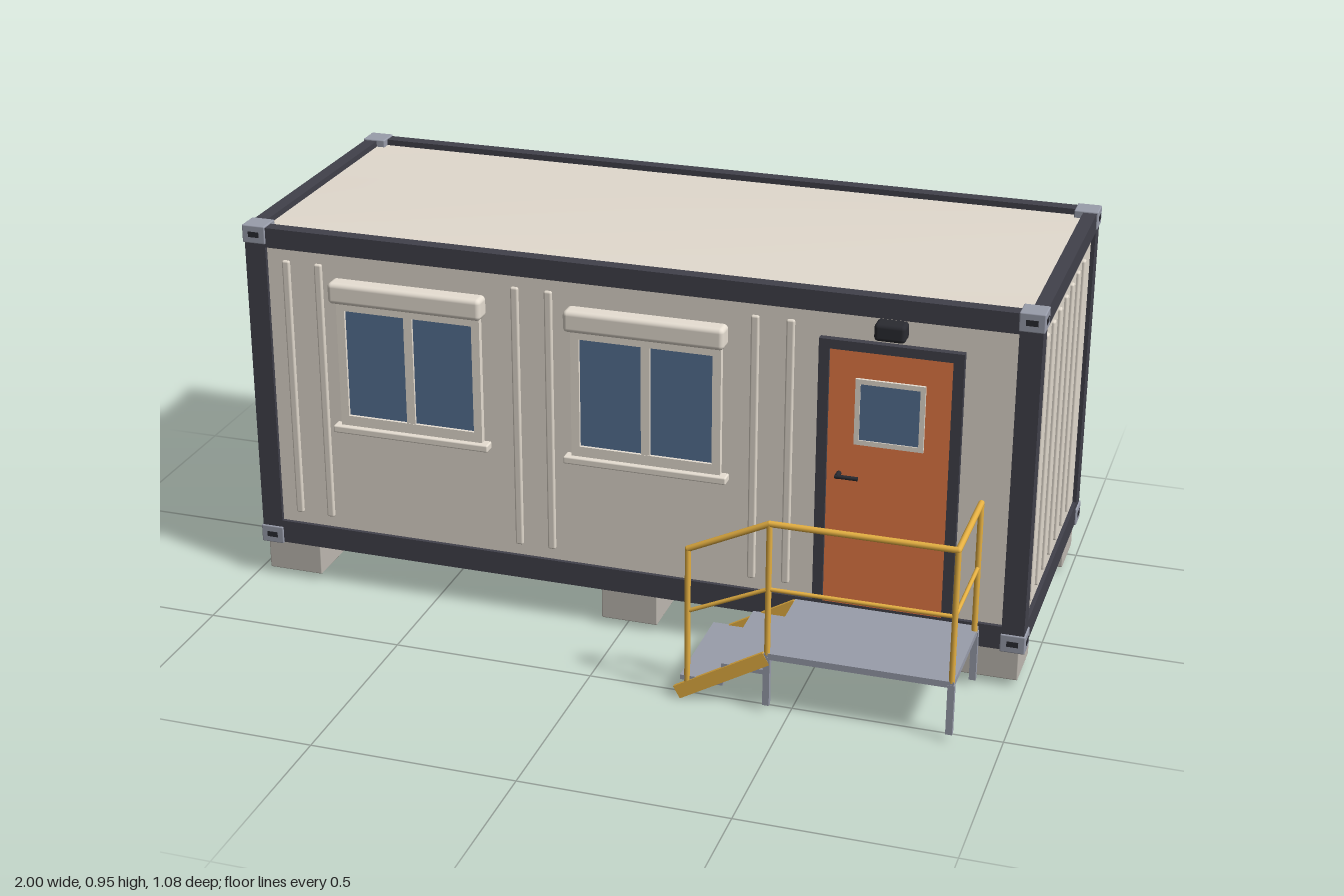
import * as THREE from 'three';
import { RoundedBoxGeometry } from 'three/addons/geometries/RoundedBoxGeometry.js';

const mat = (name, color) => {
  const m = new THREE.MeshStandardMaterial({ color });
  m.name = name;
  return m;
};

export function createModel() {
  const M = {
    wall: mat('wall beige', 0xe2dace),
    trim: mat('trim cream', 0xe8e0d4),
    frame: mat('frame charcoal', 0x41414b),
    steel: mat('galvanised steel', 0x999dab),
    glass: mat('window blue', 0x567193),
    door: mat('door orange', 0xec7e48),
    rail: mat('railing yellow', 0xeab444),
    block: mat('concrete', 0xbeb9b1),
    floor: mat('underside grey', 0xaca7a1),
    dark: mat('fitting black', 0x2a2b31),
  };
  const root = new THREE.Group();
  root.name = 'portableCabin';

  const add = (parent, name, geo, m) => {
    const mesh = new THREE.Mesh(geo, m);
    mesh.name = name;
    parent.add(mesh);
    return mesh;
  };
  // Box given by its limits; r > 0 rounds the edges
  const box = (parent, name, m, x0, x1, y0, y1, z0, z1, r = 0) => {
    const s = [x1 - x0, y1 - y0, z1 - z0];
    const geo = r ? new RoundedBoxGeometry(...s, 3, r) : new THREE.BoxGeometry(...s);
    const mesh = add(parent, name, geo, m);
    mesh.position.set((x0 + x1) / 2, (y0 + y1) / 2, (z0 + z1) / 2);
    return mesh;
  };
  // Round bar between two points
  const bar = (parent, name, m, a, b, r) => {
    const p = new THREE.Vector3(...a), q = new THREE.Vector3(...b);
    const d = q.clone().sub(p);
    const mesh = add(parent, name, new THREE.CylinderGeometry(r, r, d.length(), 10), m);
    mesh.position.copy(p).add(q).multiplyScalar(0.5);
    mesh.quaternion.setFromUnitVectors(new THREE.Vector3(0, 1, 0), d.normalize());
    return mesh;
  };
  const group = (name, parent = root) => {
    const g = new THREE.Group();
    g.name = name;
    parent.add(g);
    return g;
  };

  // Outer limits of the frame, and the wall recess
  const X0 = -0.972, X1 = 0.993, Y0 = 0.1, Y1 = 0.95, Z0 = -0.534, Z1 = 0.25;
  const inset = 0.01;

  // Body, underside and gently crowned roof
  box(root, 'walls', M.wall, X0 + inset, X1 - inset, 0.115, 0.925, Z0 + inset, Z1 - inset);
  box(root, 'underside', M.floor, X0 + 0.02, X1 - 0.02, 0.104, 0.118, Z0 + 0.02, Z1 - 0.02);
  const w = X1 - X0 - 0.06, d = Z1 - Z0 - 0.06;
  const roofGeo = new THREE.PlaneGeometry(w, d, 16, 10).rotateX(-Math.PI / 2);
  const rp = roofGeo.attributes.position;
  for (let i = 0; i < rp.count; i++) {
    const u = (2 * rp.getX(i)) / w, v = (2 * rp.getZ(i)) / d;
    rp.setY(i, 0.014 * (1 - u * u) * (1 - v * v));
  }
  roofGeo.computeVertexNormals();
  add(root, 'roof', roofGeo, M.wall).position.set((X0 + X1) / 2, 0.935, (Z0 + Z1) / 2);

  // Steel frame
  const frame = group('frame');
  for (const [x0, x1] of [[X0, X0 + 0.054], [X1 - 0.054, X1]])
    for (const [z0, z1] of [[Z0, Z0 + 0.052], [Z1 - 0.05, Z1]])
      box(frame, 'cornerPost', M.frame, x0, x1, Y0, Y1, z0, z1);
  for (const [y0, y1] of [[Y0, 0.16], [0.9, Y1]]) {
    for (const [z0, z1] of [[Z0, Z0 + 0.034], [Z1 - 0.034, Z1]])
      box(frame, 'longRail', M.frame, X0 + 0.05, X1 - 0.05, y0, y1, z0, z1);
    for (const [x0, x1] of [[X0, X0 + 0.034], [X1 - 0.034, X1]])
      box(frame, 'endRail', M.frame, x0, x1, y0, y1, Z0 + 0.04, Z1 - 0.04);
  }

  // Corner castings with dark slots on their outer faces
  const castings = group('cornerCastings');
  for (const sx of [-1, 1]) for (const sy of [-1, 1]) for (const sz of [-1, 1]) {
    const c = group('cornerCasting', castings);
    const e = 0.004;
    c.position.set(sx < 0 ? X0 - e + 0.03 : X1 + e - 0.03,
      sy < 0 ? Y0 - e + 0.023 : Y1 + e - 0.023, sz < 0 ? Z0 - e + 0.03 : Z1 + e - 0.03);
    box(c, 'casting', M.steel, -0.03, 0.03, -0.023, 0.023, -0.03, 0.03, 0.003);
    box(c, 'slotLong', M.dark, -0.014, 0.014, -0.007, 0.007, -0.0015, 0.0015).position.z = sz * 0.0295;
    box(c, 'slotEnd', M.dark, -0.0015, 0.0015, -0.007, 0.007, -0.014, 0.014).position.x = sx * 0.0295;
  }

  // Pressed wall ribs
  const ribs = group('wallRibs');
  const ribGeo = new RoundedBoxGeometry(0.02, 0.68, 0.016, 2, 0.005);
  const rib = (x, z, alongZ) => {
    const r = add(ribs, 'rib', ribGeo, M.wall);
    r.position.set(x, 0.529, z);
    r.rotation.y = alongZ ? Math.PI / 2 : 0;
  };
  for (const n of [0, 1, 7, 8, 14, 15]) rib(-0.868 + n * 0.0851, Z1 - inset, false);
  for (let i = 0; i < 16; i++) rib(-0.868 + i * 0.1138, Z0 + inset, false);
  for (let i = 0; i < 7; i++) rib(X1 - inset, 0.147 - i * 0.0852, true);

  // Window with shutter box and sill; local z points out of the wall
  const makeWindow = (name, half) => {
    const g = group(name);
    const o = half - 0.012, i = half - 0.033;
    box(g, 'glass', M.glass, -i, i, 0.478, 0.765, 0, 0.008);
    for (const s of [-1, 1])
      box(g, 'sideFrame', M.trim, Math.min(s * o, s * i), Math.max(s * o, s * i), 0.455, 0.785, 0, 0.016);
    box(g, 'topFrame', M.trim, -i, i, 0.76, 0.785, 0, 0.016);
    box(g, 'bottomFrame', M.trim, -i, i, 0.453, 0.482, 0, 0.016);
    box(g, 'mullion', M.trim, -0.011, 0.011, 0.482, 0.76, 0, 0.015);
    box(g, 'shutterBox', M.trim, -half, half, 0.783, 0.838, -0.01, 0.041, 0.012);
    box(g, 'sill', M.trim, -half - 0.006, half + 0.006, 0.437, 0.456, -0.005, 0.029, 0.004);
    return g;
  };
  makeWindow('frontWindow', 0.199).position.set(-0.547, 0, Z1 - inset);
  makeWindow('frontWindow', 0.199).position.set(0.059, 0, Z1 - inset);
  const endWindow = makeWindow('endWindow', 0.18);
  endWindow.position.set(X0 + inset, 0, -0.15);
  endWindow.rotation.y = -Math.PI / 2;

  // Door with frame, glazed opening, handle and lamp
  const door = group('door');
  box(door, 'doorLeaf', M.door, 0.503, 0.797, 0.16, 0.82, 0.235, 0.25);
  box(door, 'doorJamb', M.frame, 0.48, 0.505, 0.16, 0.838, 0.235, 0.258);
  box(door, 'doorJamb', M.frame, 0.795, 0.82, 0.16, 0.838, 0.235, 0.258);
  box(door, 'doorHead', M.frame, 0.505, 0.795, 0.815, 0.838, 0.235, 0.258);
  box(door, 'doorGlass', M.glass, 0.575, 0.727, 0.59, 0.74, 0.248, 0.254);
  for (const x of [0.569, 0.722]) box(door, 'glazingBead', M.trim, x, x + 0.012, 0.582, 0.747, 0.247, 0.257);
  for (const y of [0.582, 0.735]) box(door, 'glazingBead', M.trim, 0.581, 0.722, y, y + 0.012, 0.247, 0.257);
  bar(door, 'handleSpindle', M.dark, [0.535, 0.501, 0.245], [0.535, 0.501, 0.273], 0.006);
  bar(door, 'handleLever', M.dark, [0.53, 0.501, 0.271], [0.585, 0.501, 0.271], 0.005);
  box(door, 'lamp', M.dark, 0.613, 0.687, 0.855, 0.898, 0.238, 0.284, 0.01);

  // Concrete support blocks
  const blocks = group('supportBlocks');
  for (const x of [-0.892, 0.012, 0.91])
    for (const z of [0.169, -0.454])
      box(blocks, 'supportBlock', M.block, x - 0.072, x + 0.072, 0.017, 0.106, z - 0.071, z + 0.071, 0.003);

  // Entrance landing and steps
  const stairs = group('entranceStairs');
  const xa = 0.445, xb = 0.879, zi = 0.262, zo = 0.529;
  box(stairs, 'landing', M.steel, 0.438, 0.885, 0.138, 0.154, 0.252, 0.535);
  for (const x of [xa, xb]) for (const z of [zi, zo])
    box(stairs, 'leg', M.steel, x - 0.008, x + 0.008, 0.017, 0.145, z - 0.007, z + 0.007);
  box(stairs, 'upperTread', M.steel, 0.335, 0.44, 0.096, 0.108, 0.258, 0.532);
  box(stairs, 'lowerTread', M.steel, 0.235, 0.34, 0.049, 0.061, 0.258, 0.532);
  for (const z of [0.258, 0.532]) {
    const s = add(stairs, 'stringer', new THREE.BoxGeometry(0.25, 0.034, 0.009), M.rail);
    s.position.set(0.336, 0.077, z);
    s.rotation.z = Math.atan2(0.125, 0.215);
  }

  // Handrails on the outer and far sides
  const rails = group('handrails');
  const post = (x, z, y0, y1) => bar(rails, 'railPost', M.rail, [x, y0, z], [x, y1, z], 0.007);
  post(0.252, zo, 0.03, 0.392);
  post(xa, zo, 0.15, 0.484);
  post(xb, zo, 0.15, 0.484);
  post(xb, 0.274, 0.15, 0.484);
  for (const [yLow, y, r] of [[0.392, 0.484, 0.0075], [0.231, 0.318, 0.005]]) {
    bar(rails, 'stairRail', M.rail, [0.252, yLow, zo], [xa, y, zo], r);
    bar(rails, 'frontRail', M.rail, [xa, y, zo], [xb, y, zo], r);
    bar(rails, 'sideRail', M.rail, [xb, y, zo], [xb, y, 0.274], r);
    for (const p of [[0.252, yLow, zo], [xa, y, zo], [xb, y, zo], [xb, y, 0.274]])
      add(rails, 'railJoint', new THREE.SphereGeometry(r, 10, 8), M.rail).position.set(...p);
  }
  return root;
}
